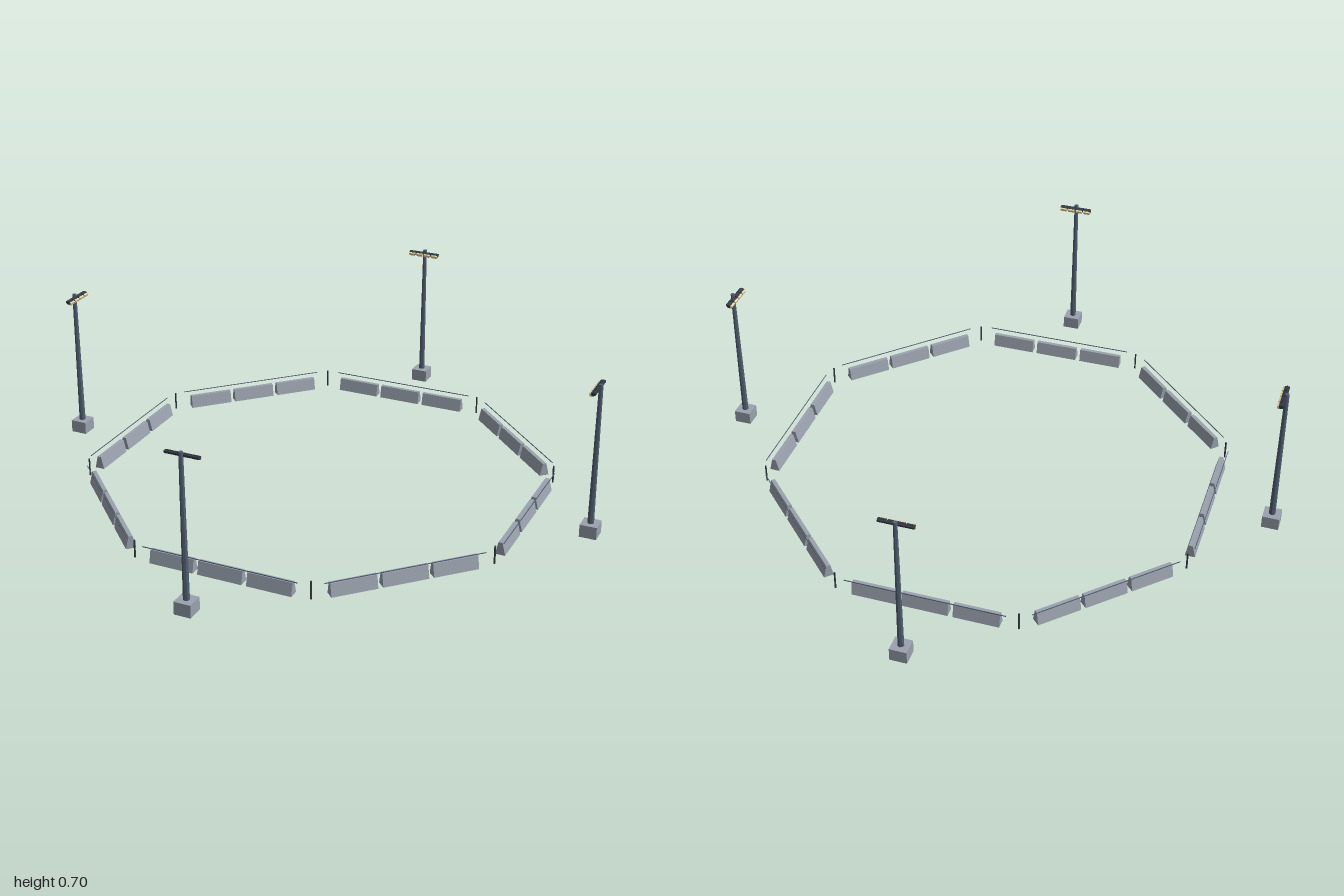
import * as THREE from 'three';

function material(name, color) {
  const m = new THREE.MeshStandardMaterial({ color, flatShading: true });
  m.name = name;
  return m;
}

export function createModel() {
  const concrete = material('concrete grey', 0x9aa2ae);
  const steel = material('slate steel', 0x526073);
  const dark = material('dark metal', 0x343b46);
  const glow = material('warm lens', 0xf0deac);

  const model = new THREE.Group();
  model.name = 'arena';

  function add(parent, name, geometry, mat, x, y, z) {
    const mesh = new THREE.Mesh(geometry, mat);
    mesh.name = name;
    mesh.position.set(x, y, z);
    parent.add(mesh);
    return mesh;
  }

  // Barrier: tapered cross-section pushed along its length
  const length = 0.203;
  const profile = new THREE.Shape([
    new THREE.Vector2(-0.0225, 0), new THREE.Vector2(0.0225, 0),
    new THREE.Vector2(0.009, 0.058), new THREE.Vector2(-0.009, 0.058),
  ]);
  const barrierGeo = new THREE.ExtrudeGeometry(profile, { depth: length, bevelEnabled: false });
  barrierGeo.translate(0, 0, -length / 2).rotateY(Math.PI / 2);

  const railGeo = new THREE.BoxGeometry(0.71, 0.003, 0.003);
  const cornerGeo = new THREE.CylinderGeometry(0.004, 0.004, 0.083, 6);

  // Eight sides, each with three barriers, an outer rail and a corner post
  for (let i = 0; i < 8; i++) {
    const side = new THREE.Group();
    side.name = 'fenceSide';
    side.rotation.y = i * Math.PI / 4;
    for (let k = -1; k <= 1; k++) {
      add(side, 'barrier', barrierGeo, concrete, k * 0.2245, 0, 0.975);
    }
    add(side, 'rail', railGeo, steel, 0, 0.073, 0.9985);
    add(side, 'cornerPost', cornerGeo, dark, 0.405, 0.0415, 0.978);
    model.add(side);
  }

  // Floodlight masts outside the four diagonal sides
  const baseGeo = new THREE.BoxGeometry(0.076, 0.058, 0.076);
  const poleGeo = new THREE.CylinderGeometry(0.0095, 0.0145, 0.645, 8);
  const barGeo = new THREE.BoxGeometry(0.15, 0.008, 0.008);
  const housingGeo = new THREE.BoxGeometry(0.034, 0.015, 0.014);
  const lensGeo = new THREE.BoxGeometry(0.031, 0.013, 0.009);
  for (let i = 0; i < 4; i++) {
    const mast = new THREE.Group();
    mast.name = 'floodlight';
    mast.rotation.y = Math.PI / 4 + i * Math.PI / 2;
    mast.position.set(0.897 * (i < 2 ? 1 : -1), 0, 0.897 * (i === 0 || i === 3 ? 1 : -1));
    add(mast, 'base', baseGeo, concrete, 0, 0.029, 0);
    add(mast, 'pole', poleGeo, steel, 0, 0.3805, 0);
    add(mast, 'crossbar', barGeo, dark, 0, 0.688, -0.004);
    // Four lamps tilted down towards the middle
    for (let k = 0; k < 4; k++) {
      const lamp = new THREE.Group();
      lamp.name = 'lamp';
      lamp.position.set((k - 1.5) * 0.039, 0.685, -0.013);
      lamp.rotation.x = -0.35;
      add(lamp, 'housing', housingGeo, dark, 0, 0, 0);
      add(lamp, 'lens', lensGeo, glow, 0, 0, -0.0112);
      mast.add(lamp);
    }
    model.add(mast);
  }

  return model;
}
